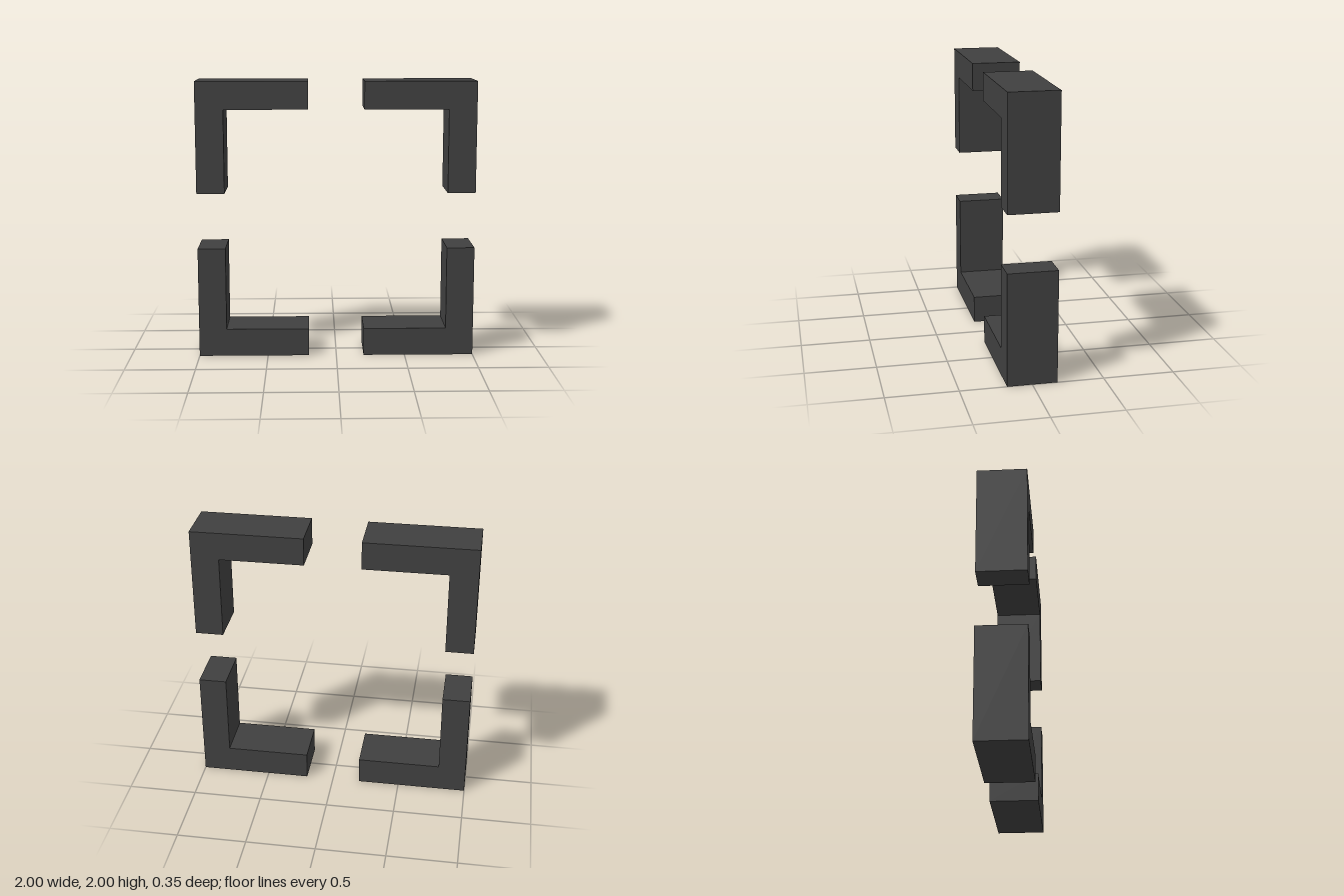
import * as THREE from 'three';

const ARM = 0.8;       // outer length of each arm
const THICK = 0.2;     // arm thickness
const DEPTH = 0.35;    // front to back

// L-shaped bracket with its outer corner at (-1, -1), centred in z
function bracketGeometry() {
  const a = -1, inner = a + THICK, end = a + ARM;
  const shape = new THREE.Shape([
    [a, a], [end, a], [end, inner], [inner, inner], [inner, end], [a, end],
  ].map(([x, y]) => new THREE.Vector2(x, y)));
  const geometry = new THREE.ExtrudeGeometry(shape, { depth: DEPTH, bevelEnabled: false });
  return geometry.translate(0, 0, -DEPTH / 2);
}

export function createModel() {
  const model = new THREE.Group();
  model.name = 'cornerFrame';
  const material = new THREE.MeshStandardMaterial({ color: 0x404040 });
  const geometry = bracketGeometry();

  // One bracket per corner, a quarter turn apart
  const names = ['bottomRightCorner', 'bottomLeftCorner', 'topLeftCorner', 'topRightCorner'];
  names.forEach((name, i) => {
    const corner = new THREE.Mesh(geometry, material);
    corner.name = name;
    corner.rotation.z = i * Math.PI / 2;
    corner.position.y = 1;
    model.add(corner);
  });
  return model;
}
